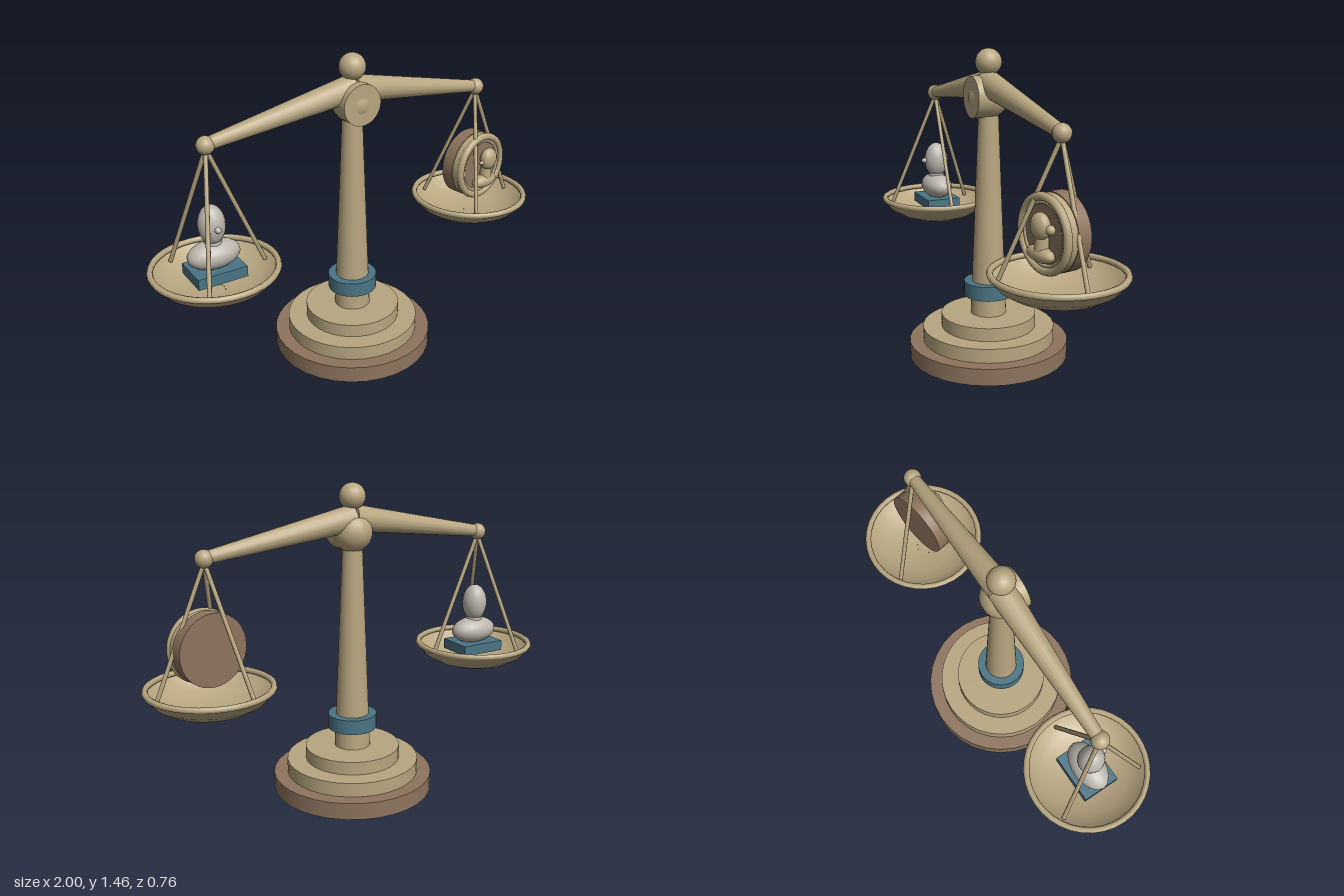
import * as THREE from 'three';

const mat = (name, color, side = THREE.FrontSide) => {
  const m = new THREE.MeshStandardMaterial({ color, side });
  m.name = name;
  return m;
};

export function createModel() {
  const brass = mat('brass', 0xb8a680, THREE.DoubleSide);
  const wood = mat('brown', 0x8e745e);
  const teal = mat('teal', 0x4a7484);
  const stone = mat('stone', 0xbcb7ae);

  const model = new THREE.Group();
  model.name = 'balanceScale';

  const add = (parent, name, geo, material, x = 0, y = 0, z = 0) => {
    const m = new THREE.Mesh(geo, material);
    m.name = name;
    m.position.set(x, y, z);
    parent.add(m);
    return m;
  };
  // upright drum between two heights
  const drum = (name, r0, r1, y0, y1, material) =>
    add(model, name, new THREE.CylinderGeometry(r1, r0, y1 - y0, 32), material, 0, (y0 + y1) / 2, 0);
  // tapered rod between two points
  const rod = (parent, name, a, b, ra, rb, material, sides = 10) => {
    const d = b.clone().sub(a);
    const m = add(parent, name, new THREE.CylinderGeometry(rb, ra, d.length(), sides), material);
    m.position.copy(a).addScaledVector(d, 0.5);
    m.quaternion.setFromUnitVectors(new THREE.Vector3(0, 1, 0), d.normalize());
    return m;
  };
  const ball = (parent, name, rx, ry, rz, material, x, y, z) => {
    const m = add(parent, name, new THREE.SphereGeometry(1, 18, 12), material, x, y, z);
    m.scale.set(rx, ry, rz);
    return m;
  };
  // drum lying along z
  const coin = (parent, name, r, z0, z1, material, y = 0) => {
    const g = new THREE.CylinderGeometry(r, r, z1 - z0, 36).rotateX(Math.PI / 2);
    return add(parent, name, g, material, 0, y, (z0 + z1) / 2);
  };

  // stepped base, column and collar
  drum('baseLower', 0.38, 0.38, 0, 0.08, wood);
  drum('baseMiddle', 0.315, 0.315, 0.08, 0.147, brass);
  drum('baseUpper', 0.226, 0.226, 0.147, 0.21, brass);
  drum('column', 0.085, 0.045, 0.21, 1.2, brass);
  drum('collar', 0.116, 0.116, 0.3, 0.37, teal);

  // hub and finial
  ball(model, 'hubBall', 0.093, 0.093, 0.093, brass, 0, 1.24, 0);
  coin(model, 'hubDisc', 0.095, 0, 0.085, brass, 1.245);
  ball(model, 'finial', 0.061, 0.061, 0.061, brass, 0, 1.4, 0);

  // arms, hanging cords and pans
  const panProfile = [[0.04, 0.505], [0.13, 0.514], [0.2, 0.54], [0.25, 0.57], [0.284, 0.61]]
    .map(([r, y]) => new THREE.Vector2(r, y));
  for (const s of [-1, 1]) {
    const side = s > 0 ? 'left' : 'right';
    const cx = s * 0.708;
    rod(model, side + 'Arm', new THREE.Vector3(0, 1.303, 0), new THREE.Vector3(cx, 1.187, 0), 0.062, 0.028, brass, 16);
    ball(model, side + 'ArmTip', 0.04, 0.04, 0.04, brass, cx, 1.185, 0);
    for (let i = 0; i < 3; i++) {
      const a = i * Math.PI * 2 / 3;
      rod(model, side + 'Cord', new THREE.Vector3(cx, 1.17, 0),
        new THREE.Vector3(cx + 0.243 * Math.cos(a), 0.585, 0.243 * Math.sin(a)), 0.01, 0.01, brass, 8);
    }
    add(model, side + 'Pan', new THREE.LatheGeometry(panProfile, 36), brass, cx, 0, 0);
    add(model, side + 'PanCentre', new THREE.CircleGeometry(0.04, 20).rotateX(-Math.PI / 2), brass, cx, 0.505, 0);
    add(model, side + 'PanRim', new THREE.TorusGeometry(0.277, 0.014, 8, 36).rotateX(Math.PI / 2), brass, cx, 0.62, 0);
  }

  // small bust on a plinth
  const bust = new THREE.Group();
  bust.name = 'bust';
  bust.position.x = -0.708;
  model.add(bust);
  add(bust, 'plinth', new THREE.BoxGeometry(0.23, 0.05, 0.176), teal, 0, 0.605, 0);
  ball(bust, 'shoulders', 0.122, 0.065, 0.075, stone, 0, 0.685, 0);
  add(bust, 'neck', new THREE.CylinderGeometry(0.035, 0.045, 0.08, 16), stone, 0, 0.745, 0);
  ball(bust, 'head', 0.06, 0.092, 0.062, stone, 0, 0.825, 0);
  ball(bust, 'nose', 0.014, 0.014, 0.018, stone, 0, 0.825, 0.064);

  // thick medallion with a portrait in relief
  const medal = new THREE.Group();
  medal.name = 'medallion';
  medal.position.set(0.705, 0.793, 0.03);
  medal.rotation.y = 0.175;
  model.add(medal);
  coin(medal, 'medalBack', 0.164, -0.062, 0, wood);
  coin(medal, 'medalBody', 0.16, 0, 0.036, brass);
  add(medal, 'medalOuterRim', new THREE.TorusGeometry(0.15, 0.018, 10, 40), brass, 0, 0, 0.042);
  add(medal, 'medalInnerRim', new THREE.TorusGeometry(0.128, 0.008, 8, 40), brass, 0, 0, 0.042);
  coin(medal, 'medalFace', 0.125, 0.036, 0.042, wood);
  ball(medal, 'reliefHead', 0.05, 0.055, 0.035, brass, 0.018, 0.042, 0.075);
  ball(medal, 'reliefBun', 0.02, 0.02, 0.02, brass, 0.07, 0.035, 0.065);
  rod(medal, 'reliefNose', new THREE.Vector3(-0.02, 0.035, 0.075), new THREE.Vector3(-0.046, 0.03, 0.075), 0.016, 0.004, brass);
  rod(medal, 'reliefNeck', new THREE.Vector3(0.015, -0.07, 0.065), new THREE.Vector3(0.018, 0.02, 0.065), 0.032, 0.024, brass, 14);
  ball(medal, 'reliefShoulders', 0.082, 0.034, 0.035, brass, 0.008, -0.075, 0.065);

  return model;
}
